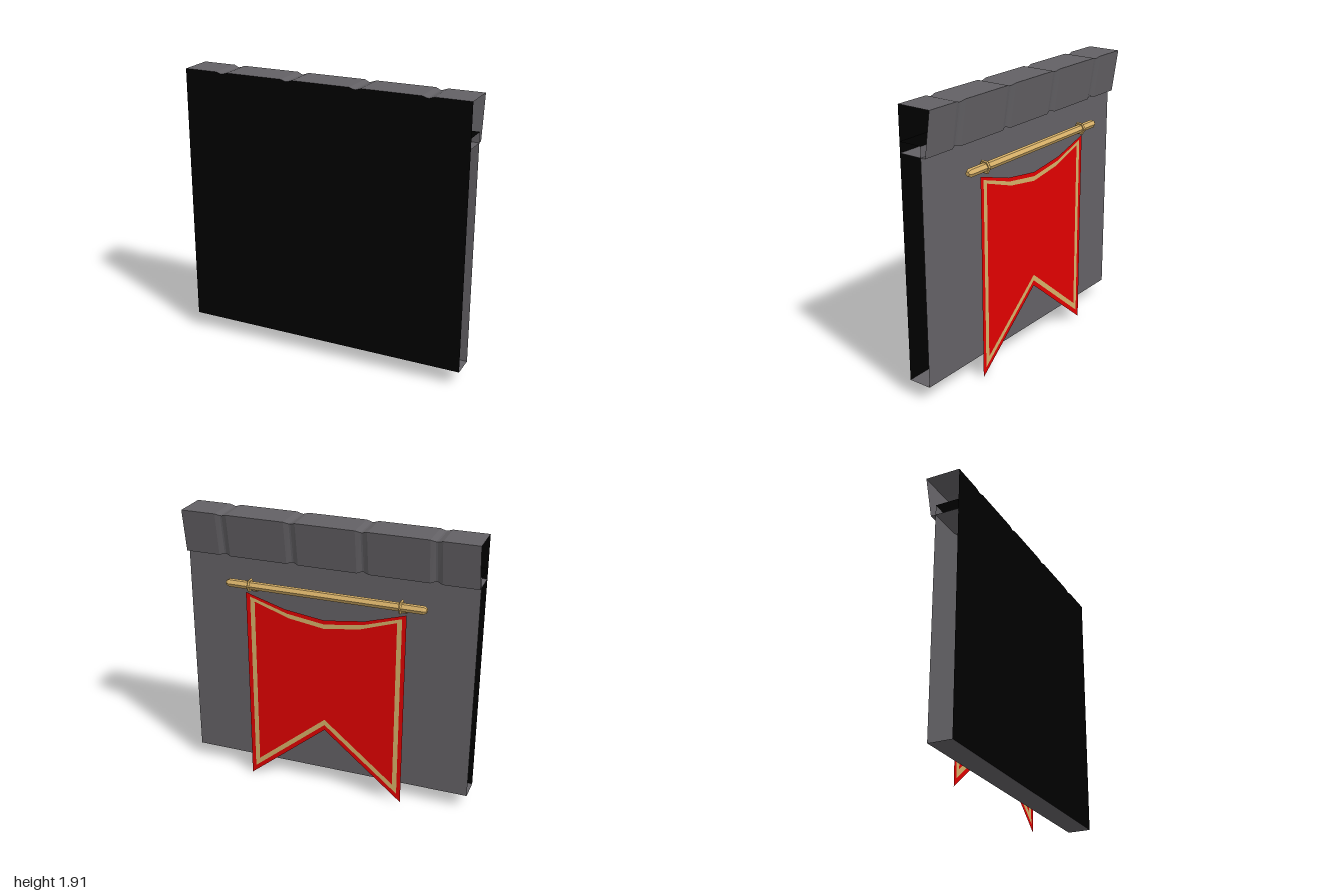
import * as THREE from 'three';

const mat = (name, color, side = THREE.DoubleSide) => {
  const m = new THREE.MeshStandardMaterial({ color, side });
  m.name = name;
  return m;
};

const FRONT = 0.145, BACK = -0.016, BASE = 0.108, TOP = 1.915;

// Facet a geometry so every face keeps a hard edge
function faceted(geometry) {
  const g = geometry.index ? geometry.toNonIndexed() : geometry;
  g.computeVertexNormals();
  return g;
}

// Stations along x with the groove depth at each one
function grooveStations() {
  const out = [[-1, 0]];
  for (const c of [-0.725, -0.243, 0.238, 0.72]) {
    out.push([c - 0.04, 0], [c - 0.006, 0.011], [c + 0.006, 0.011], [c + 0.04, 0]);
  }
  out.push([1, 0]);
  return out;
}

// Cornice shell: an open profile swept along x, pinched at each groove
function corniceGeometry() {
  const profile = d => [
    [FRONT, TOP - d], [-0.094 + d, TOP - d], [-0.05 + d, 1.62 + d], [FRONT, 1.62 + d],
  ];
  const pos = [], st = grooveStations();
  for (let i = 0; i < st.length - 1; i++) {
    const [xa, da] = st[i], [xb, db] = st[i + 1];
    const pa = profile(da), pb = profile(db);
    for (let k = 0; k < 3; k++) {
      const a = [xa, pa[k][1], pa[k][0]], b = [xb, pb[k][1], pb[k][0]];
      const c = [xb, pb[k + 1][1], pb[k + 1][0]], d = [xa, pa[k + 1][1], pa[k + 1][0]];
      pos.push(...a, ...b, ...c, ...a, ...c, ...d);
    }
  }
  const g = new THREE.BufferGeometry();
  g.setAttribute('position', new THREE.Float32BufferAttribute(pos, 3));
  return faceted(g);
}

// Swallow-tailed banner outline, inset by m
function bannerOutline(m) {
  const w = 0.555 - m, pts = [];
  for (let i = 0; i <= 4; i++) {
    const t = -1 + i / 2;
    const sag = 0.12 * (1 - Math.pow(Math.abs(t), 1.7));
    pts.push(new THREE.Vector2(t * w, 1.4 - sag - m));
  }
  const tail = x => (0.46 / 0.555) * (0.555 - Math.abs(x)) + 1.3 * m;
  pts.push(new THREE.Vector2(w, tail(w)), new THREE.Vector2(0, tail(0)), new THREE.Vector2(-w, tail(w)));
  return pts;
}

function bannerPiece(outer, inner) {
  const s = new THREE.Shape(bannerOutline(outer));
  if (inner !== undefined) s.holes.push(new THREE.Path(bannerOutline(inner)));
  return new THREE.ShapeGeometry(s);
}

export function createModel() {
  const stone = mat('grey stone', 0x636165);
  const black = mat('black backing', 0x000000);
  const red = mat('red cloth', 0xe00000);
  const gold = mat('gold', 0xd6b068);

  const model = new THREE.Group();
  model.name = 'wallWithBanner';
  const add = (name, geometry, material, parent = model) => {
    const mesh = new THREE.Mesh(geometry, material);
    mesh.name = name;
    parent.add(mesh);
    return mesh;
  };

  // Wall: black front sheet with a grooved top edge
  const sheet = new THREE.Shape();
  sheet.moveTo(-1, BASE);
  for (const [x, d] of grooveStations()) sheet.lineTo(x, TOP - d);
  sheet.lineTo(1, BASE);
  add('wallFront', new THREE.ShapeGeometry(sheet), black).position.z = FRONT;

  // Wall: stone back, stone floor and black inner cap, open at the ends
  const capY = 1.69, depth = FRONT - BACK, midZ = (FRONT + BACK) / 2;
  const back = add('wallBack', new THREE.PlaneGeometry(2, capY - BASE), stone);
  back.rotation.y = Math.PI;
  back.position.set(0, (capY + BASE) / 2, BACK);
  const floor = add('wallBottom', new THREE.PlaneGeometry(2, depth), stone);
  floor.rotation.x = Math.PI / 2;
  floor.position.set(0, BASE, midZ);
  const cap = add('wallCap', new THREE.PlaneGeometry(2, depth), black);
  cap.rotation.x = -Math.PI / 2;
  cap.position.set(0, capY, midZ);

  add('cornice', corniceGeometry(), stone);

  // Banner: rim, gold trim and field lie in one plane
  const banner = new THREE.Group();
  banner.name = 'banner';
  banner.position.z = -0.092;
  banner.rotation.y = Math.PI;
  model.add(banner);
  add('bannerRim', bannerPiece(0, 0.029), red, banner);
  add('bannerTrim', bannerPiece(0.029, 0.061), gold, banner);
  add('bannerField', bannerPiece(0.061), red, banner);

  // Six-sided rod with tapered ends
  const half = [[0, -0.688], [0.016, -0.688], [0.028, -0.668]];
  const rodPoints = [...half, ...half.map(([r, y]) => [r, -y]).reverse()]
    .map(([r, y]) => new THREE.Vector2(r, y));
  const rod = add('rod', faceted(new THREE.LatheGeometry(rodPoints, 6).rotateZ(Math.PI / 2)), gold);
  rod.position.set(0, 1.456, -0.1);

  // Rings around the rod and the pegs that hold it to the wall
  for (const [side, s] of [['left', 1], ['right', -1]]) {
    const ring = add(side + 'Ring',
      faceted(new THREE.TorusGeometry(0.038, 0.01, 5, 6).rotateY(Math.PI / 2)), gold);
    ring.position.set(0.52 * s, 1.456, -0.099);
    const peg = add(side + 'Peg', new THREE.BoxGeometry(0.035, 0.048, 0.1), gold);
    peg.position.set(0.52 * s, 1.425, -0.042);
    peg.rotation.x = 0.55;
  }
  return model;
}
